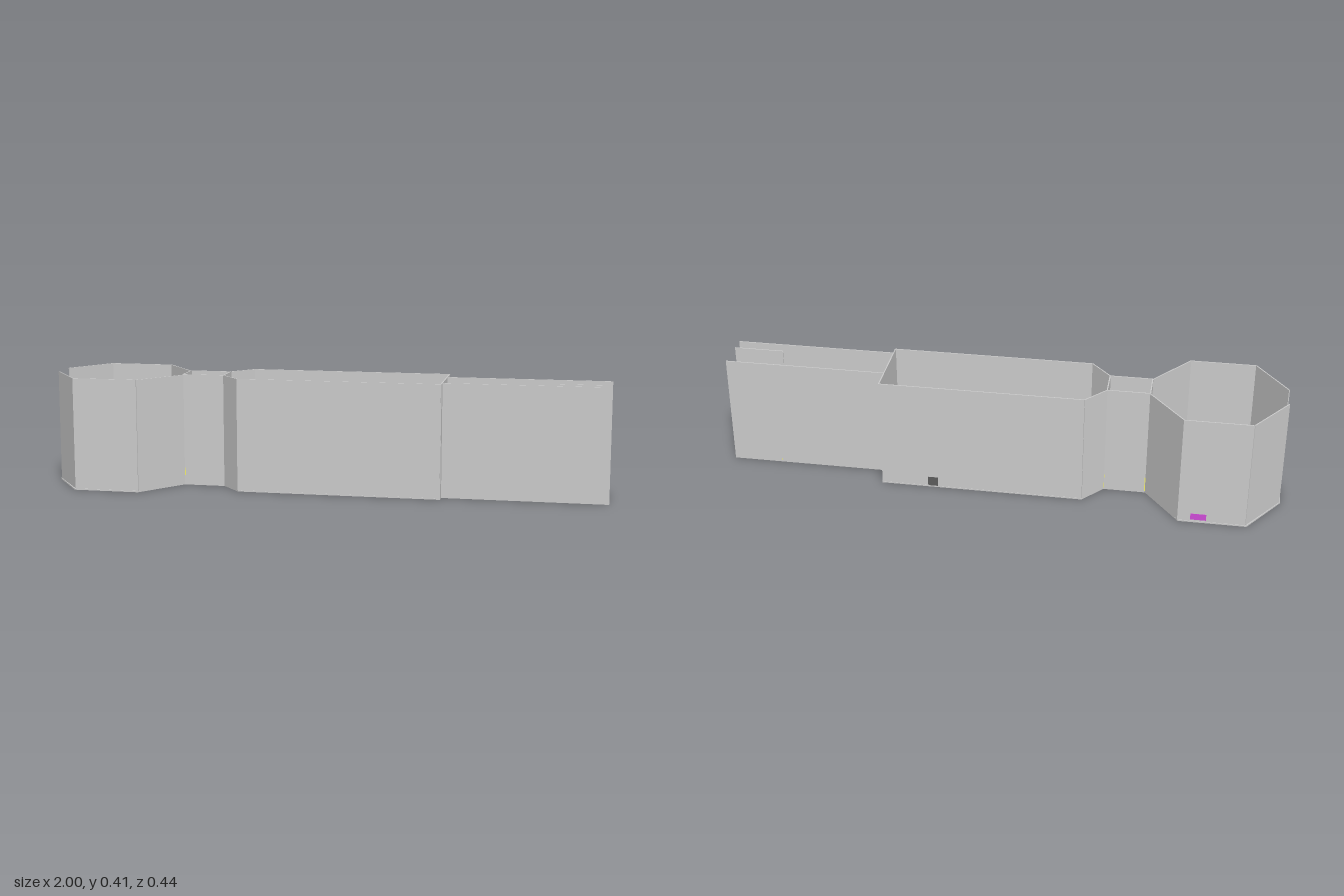
import * as THREE from 'three';

const mat = (color) => new THREE.MeshStandardMaterial({ color, side: THREE.DoubleSide });
const GREY = mat(0xcccccc), DARK = mat(0x5c5c5c), PURPLE = mat(0x7a64d0), YELLOW = mat(0xf4f06a),
  GREEN = mat(0x1ce05c), RED = mat(0xd06a60), MAGENTA = mat(0xd04cd8), TEAL = mat(0x6fa8a0);
const T = 0.004, FLOOR = 0.005, DOOR = 0.062;

export function createModel() {
  const root = new THREE.Group();

  // Box given by its min/max on each axis
  const block = (name, m, x0, x1, y0, y1, z0, z1, parent = root) => {
    const mesh = new THREE.Mesh(new THREE.BoxGeometry(x1 - x0, y1 - y0, z1 - z0), m);
    mesh.position.set((x0 + x1) / 2, (y0 + y1) / 2, (z0 + z1) / 2);
    mesh.name = name;
    parent.add(mesh);
    return mesh;
  };

  // Thin upright wall between two plan points
  const wall = (name, [x0, z0], [x1, z1], top, bottom = 0) => {
    const len = Math.hypot(x1 - x0, z1 - z0);
    const mesh = new THREE.Mesh(new THREE.BoxGeometry(len, top - bottom, T), GREY);
    mesh.position.set((x0 + x1) / 2, (top + bottom) / 2, (z0 + z1) / 2);
    mesh.rotation.y = -Math.atan2(z1 - z0, x1 - x0);
    mesh.name = name;
    root.add(mesh);
  };

  // Door frame across x: two posts and a lintel
  const doorFrame = (name, m, x, half, height, bar, depth = 0.008) => {
    const g = new THREE.Group();
    g.name = name;
    const a = x - depth / 2, b = x + depth / 2;
    for (const s of [-1, 1]) {
      const z = s * (half - bar / 2);
      block('doorPost', m, a, b, FLOOR, height, z - bar / 2, z + bar / 2, g);
    }
    block('doorLintel', m, a, b, height - bar, height, -half, half, g);
    root.add(g);
  };

  // Floor slab: octagonal hall, neck, long hall and end corridor in one outline
  const half = [[-1, 0.05], [-0.885, 0.219], [-0.647, 0.219], [-0.522, 0.054], [-0.372, 0.054],
    [-0.302, 0.137], [0.422, 0.137], [0.422, 0.054], [1, 0.054]];
  const outline = [...half, ...half.map(([x, z]) => [x, -z]).reverse()];
  const floorGeo = new THREE.ExtrudeGeometry(
    new THREE.Shape(outline.map(([x, z]) => new THREE.Vector2(x, -z))),
    { depth: FLOOR, bevelEnabled: false });
  floorGeo.rotateX(-Math.PI / 2);
  const floor = new THREE.Mesh(floorGeo, GREY);
  floor.name = 'floor';
  root.add(floor);

  // Side walls, mirrored front to back
  const path = [[-0.995, 0.05], [-0.88, 0.215], [-0.647, 0.215], [-0.522, 0.053], [-0.372, 0.053],
    [-0.302, 0.134], [0.42, 0.134]];
  for (const s of [-1, 1])
    for (let i = 0; i < path.length - 1; i++) {
      const [a, b] = [path[i], path[i + 1]];
      wall(i < 3 ? 'octagonWall' : i === 3 ? 'neckWall' : 'hallWall',
        [a[0], s * a[1]], [b[0], s * b[1]], i < 3 ? 0.403 : 0.405);
    }

  // Cross walls above and beside the doorways
  for (const x of [-0.522, -0.372, 0.42])
    wall('doorHeader', [x, -0.053], [x, 0.053], 0.405, DOOR);
  for (const s of [-1, 1]) wall('hallEndWall', [0.42, s * 0.053], [0.42, s * 0.134], 0.405);

  // End corridor walls
  wall('corridorBackWall', [0.42, -0.053], [1, -0.053], 0.405);
  wall('corridorFrontWall', [0.82, 0.053], [1, 0.053], 0.405);
  wall('outerFrontWall', [0.42, 0.103], [1, 0.103], 0.405);

  // Doorways
  for (const x of [-0.522, -0.37, 0.825]) {
    doorFrame('yellowDoorFrame', YELLOW, x, 0.055, DOOR, 0.013);
    for (const s of [-1, 1])
      block('doorLatch', RED, x - 0.006, x + 0.006, 0.018, 0.029, s * 0.046 - 0.005, s * 0.046 + 0.005);
  }
  doorFrame('greenEndFrame', GREEN, 0.994, 0.022, 0.046, 0.006);
  doorFrame('greenEntryFrame', GREEN, -0.994, 0.022, 0.046, 0.006);

  // Purple floor strips
  for (const x of [-0.141, -0.043, 0.062])
    block('floorStrip', PURPLE, x - 0.017, x + 0.017, FLOOR, 0.008, -0.131, 0.131);
  block('corridorCarpet', PURPLE, 0.41, 0.885, FLOOR, 0.008, -0.053, 0.052);

  // Dark barriers in the long hall: [x, z start, z end]
  for (const [x, z0, z1] of [[-0.141, -0.12, -0.067], [-0.141, 0.057, 0.115], [-0.043, -0.008, 0.05],
    [0.062, -0.12, -0.06], [0.139, -0.05, 0.125], [0.235, -0.137, 0.035], [0.315, -0.013, 0.115]]) {
    const n = Math.max(1, Math.round((z1 - z0) / 0.057)), step = (z1 - z0) / n;
    for (let i = 0; i < n; i++)
      block('barrier', DARK, x - 0.018, x + 0.018, FLOOR, 0.04,
        z0 + i * step, z0 + (i + 1) * step - (n > 1 ? 0.001 : 0));
  }

  // Small red figures: [x, z, radius]
  for (const [x, z, r] of [[-0.3, -0.077, 0.005], [-0.253, -0.013, 0.009], [-0.3, 0.07, 0.005],
    [-0.2, 0.057, 0.008], [-0.094, -0.077, 0.009], [-0.115, 0.057, 0.009], [0.005, -0.018, 0.009],
    [0.005, 0.057, 0.009], [0.127, -0.097, 0.009], [0.335, -0.097, 0.009], [0.18, 0.03, 0.009],
    [0.277, 0.03, 0.009], [-0.713, -0.192, 0.009], [-0.845, 0.155, 0.009], [-0.84, -0.163, 0.005],
    [-0.708, -0.008, 0.005], [-0.708, 0.143, 0.005]])
    block('marker', RED, x - r, x + r, FLOOR, 0.028, z - r * 0.9, z + r * 0.9);

  // Low triangular corner pieces in the octagonal hall
  const tri = (x, z, sx, sz, m) => {
    const d = 0.011;
    const g = new THREE.ExtrudeGeometry(new THREE.Shape([
      new THREE.Vector2(-sx * d, sz * d), new THREE.Vector2(sx * d, sz * d),
      new THREE.Vector2(-sx * d, -sz * d)]), { depth: 0.018, bevelEnabled: false });
    g.rotateX(-Math.PI / 2);
    const mesh = new THREE.Mesh(g, m);
    mesh.position.set(x, FLOOR, z);
    mesh.name = 'cornerBlock';
    root.add(mesh);
  };
  for (const sx of [-1, 1])
    for (const sz of [-1, 1]) tri(-0.833 + sx * 0.057, sz * 0.12 - sz * 0.035 * (sz > 0), -sx, sz, PURPLE);
  for (const sz of [-1, 1]) tri(-0.617, sz * 0.052, -1, sz, TEAL);

  // Magenta wall panels
  block('wallPanel', MAGENTA, -0.745, -0.69, 0.01, 0.034, -0.218, -0.208);
  block('wallPanel', MAGENTA, -0.88, -0.825, 0.01, 0.034, 0.206, 0.212);
  for (const s of [-1, 1])
    block('entryPanel', MAGENTA, -0.988, -0.972, 0.01, 0.034, s * 0.05 - 0.006, s * 0.05 + 0.006);

  // Slim railing beside the corridor: base, rail and posts
  block('railingBase', GREY, 0.46, 0.8, 0.004, 0.008, 0.08, 0.1);
  block('railingTop', RED, 0.46, 0.8, 0.024, 0.028, 0.087, 0.097);
  for (let i = 0; i <= 10; i++) {
    const x = 0.463 + i * 0.0334;
    block('railingPost', RED, x - 0.003, x + 0.003, 0.008, 0.025, 0.089, 0.095);
  }
  return root;
}
